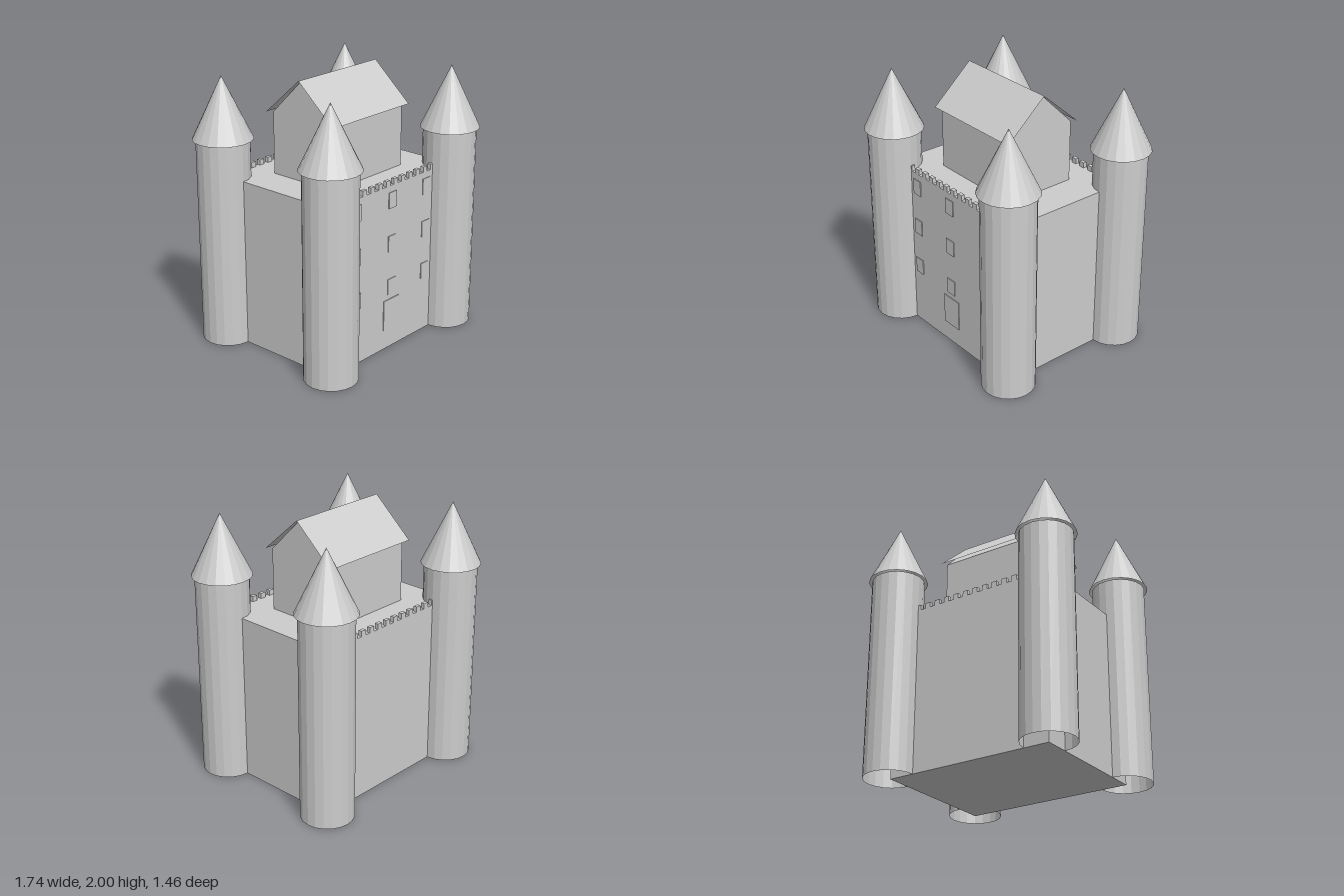
import * as THREE from 'three';

export function createModel() {
  const castle = new THREE.Group();
  castle.name = 'castle';

  const stone = new THREE.MeshStandardMaterial({ color: 0xcccccc, flatShading: true, side: THREE.DoubleSide });
  stone.name = 'pale stone';

  const add = (name, geometry, x = 0, y = 0, z = 0) => {
    const mesh = new THREE.Mesh(geometry, stone);
    mesh.name = name;
    mesh.position.set(x, y, z);
    castle.add(mesh);
    return mesh;
  };
  const box = (name, w, h, d, x, y, z) => add(name, new THREE.BoxGeometry(w, h, d), x, y, z);

  const halfX = 0.652, halfZ = 0.511, wallTop = 1.26, towerTop = 1.54;

  // Main block
  box('mainBlock', 2 * halfX, wallTop, 2 * halfZ, 0, wallTop / 2, 0);

  // Corner towers, open underneath, with overhanging conical roofs
  for (const sx of [-1, 1]) {
    for (const sz of [-1, 1]) {
      add('tower', new THREE.CylinderGeometry(0.196, 0.196, towerTop, 20, 1, true), sx * halfX, towerTop / 2, sz * halfZ);
      add('towerRoof', new THREE.ConeGeometry(0.22, 2 - towerTop, 20, 1, true), sx * halfX, (2 + towerTop) / 2, sz * halfZ);
    }
  }

  // Battlements along the front and back walls
  for (let i = 0; i < 12; i++) {
    for (const sz of [-1, 1]) {
      box('merlon', 0.042, 0.04, 0.028, -0.466 + i * 0.0835, wallTop + 0.02, sz * (halfZ - 0.014));
    }
  }

  // Gabled keep on the roof terrace
  const gable = new THREE.Shape([
    new THREE.Vector2(-0.28, wallTop), new THREE.Vector2(0.28, wallTop),
    new THREE.Vector2(0.28, 1.72), new THREE.Vector2(0, 1.998), new THREE.Vector2(-0.28, 1.72),
  ]);
  const keep = new THREE.ExtrudeGeometry(gable, { depth: 0.75, bevelEnabled: false });
  keep.translate(0, 0, -0.375).rotateY(Math.PI / 2);
  add('keep', keep);

  // Two thin roof slopes meeting at the ridge
  const run = 0.315, drop = 0.277;
  for (const s of [-1, 1]) {
    const slope = new THREE.PlaneGeometry(0.82, Math.hypot(run, drop));
    slope.rotateX(-Math.PI / 2);
    slope.rotateX(s * Math.atan2(drop, run));
    add('keepRoof', slope, 0, 2 - drop / 2, s * run / 2);
  }

  // Door and three rows of windows as thin plates on the front wall
  const plateZ = halfZ + 0.003;
  box('door', 0.17, 0.235, 0.006, 0, 0.268, plateZ);
  for (const x of [-0.385, 0, 0.385]) {
    for (const y of [0.485, 0.82, 1.15]) box('window', 0.084, 0.12, 0.006, x, y, plateZ);
  }

  return castle;
}
